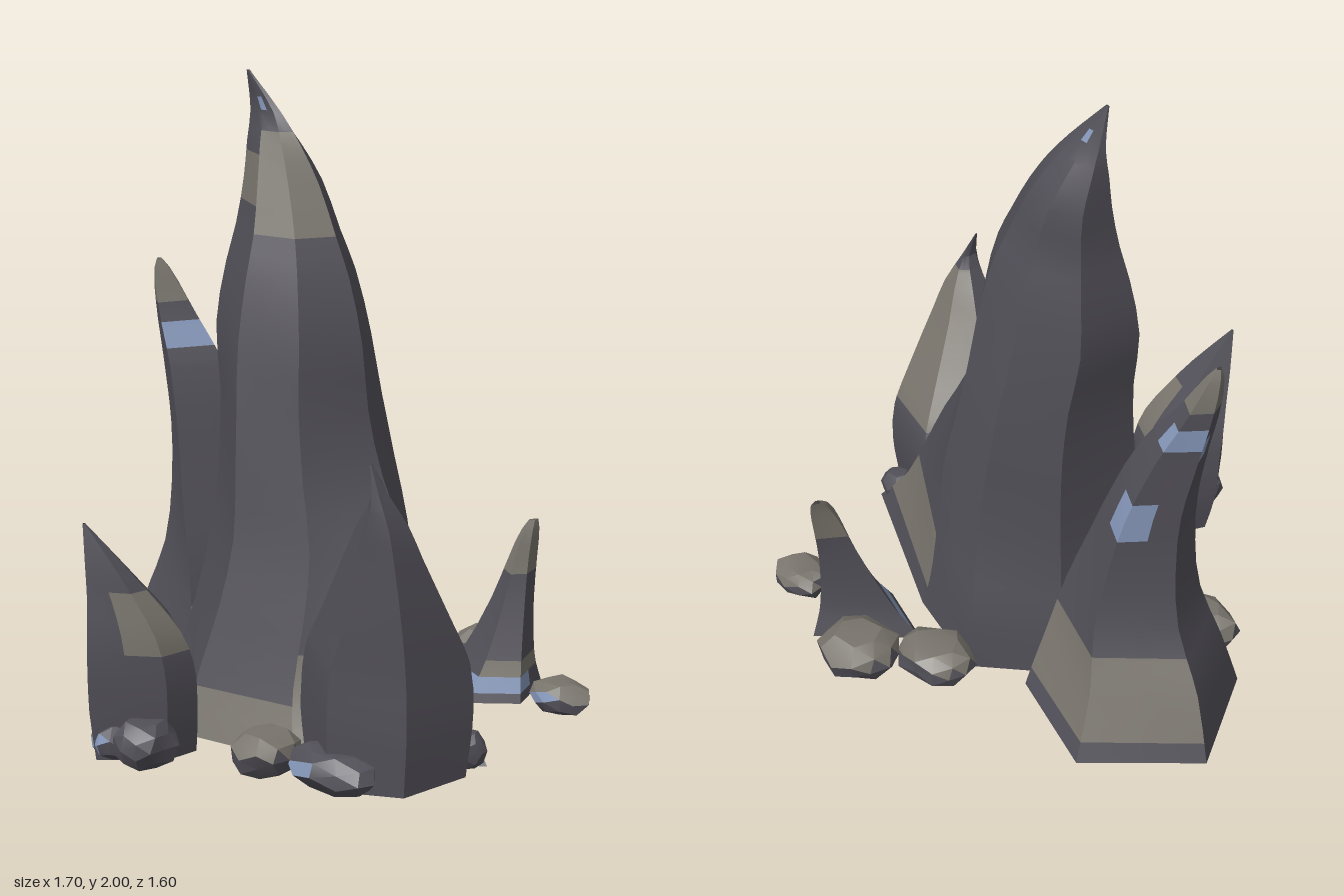
import * as THREE from 'three';
import { toCreasedNormals } from 'three/addons/utils/BufferGeometryUtils.js';

const colour = (name, hex) => {
  const m = new THREE.MeshStandardMaterial({ color: hex, side: THREE.DoubleSide });
  m.name = name;
  return m;
};

// Turns triangles sorted by material into one creased mesh with groups
function paintedMesh(name, buckets, materials, crease) {
  const geo = new THREE.BufferGeometry();
  const all = buckets.flat();
  geo.setAttribute('position', new THREE.Float32BufferAttribute(all.flatMap(p => [p.x, p.y, p.z]), 3));
  const out = toCreasedNormals(geo, crease);
  let start = 0;
  buckets.forEach((b, i) => {
    if (b.length) out.addGroup(start, b.length, i);
    start += b.length;
  });
  const mesh = new THREE.Mesh(out, materials);
  mesh.name = name;
  return mesh;
}

// Spire: a polygon (0..1 in x and z) fitted into rings of [y, xMin, xMax, zMin, zMax].
// Corners [u, v, u2, v2] move from (u, v) at the foot to (u2, v2) at half height.
// Each side has two columns; patches are [material, yFrom, yTo, columns].
function spire(name, corners, rings, patches, materials) {
  const curve = new THREE.CubicInterpolant(rings.map(r => r[0]), rings.flatMap(r => r.slice(1)), 4, new Float32Array(4));
  const top = rings[rings.length - 1][0];
  const levels = new Set(patches.flatMap(p => [p[1], p[2]]));
  rings.forEach((r, i) => {
    levels.add(r[0]);
    if (i) levels.add((r[0] + rings[i - 1][0]) / 2);
  });
  const ys = [...levels].sort((a, b) => a - b);
  const grid = ys.map(y => {
    const [x0, x1, z0, z1] = curve.evaluate(y);
    const t = THREE.MathUtils.smoothstep(y, 0, top * 0.5);
    const ring = corners.map(([u, v, u2 = u, v2 = v]) => new THREE.Vector3(
      THREE.MathUtils.lerp(x0, x1, u + (u2 - u) * t), y, THREE.MathUtils.lerp(z0, z1, v + (v2 - v) * t)));
    return ring.flatMap((p, i) => [p, p.clone().lerp(ring[(i + 1) % ring.length], 0.5)]);
  });
  const n = corners.length * 2;
  const buckets = materials.map(() => []);
  for (let i = 0; i < ys.length - 1; i++) {
    const mid = (ys[i] + ys[i + 1]) / 2;
    for (let j = 0; j < n; j++) {
      const k = (j + 1) % n;
      const patch = patches.find(p => mid > p[1] && mid < p[2] && p[3].includes(j));
      const a = grid[i][j], b = grid[i][k], c = grid[i + 1][k], d = grid[i + 1][j];
      buckets[patch ? patch[0] : 0].push(a, d, c, a, c, b);
    }
  }
  return paintedMesh(name, buckets, materials, 0.4);
}

// Stone: a lumpy, flat-bottomed ball, with an optional pale top and blue front facets
function stone(seed, [x, z, rx, rz, h, paleTop, blueFront], materials) {
  const geo = new THREE.IcosahedronGeometry(1, 1);
  const pos = geo.attributes.position;
  const front = new THREE.Vector3(-0.2, 0.1, 1).normalize();
  const pts = [];
  for (let i = 0; i < pos.count; i++) {
    const p = new THREE.Vector3().fromBufferAttribute(pos, i);
    p.multiplyScalar(0.94 + 0.1 * Math.sin(p.x * 5 + seed * 2.1) * Math.cos(p.z * 4 + p.y * 3 + seed));
    p.y = THREE.MathUtils.clamp(p.y, -0.75, 0.8);
    pts.push(new THREE.Vector3(x + p.x * rx, (p.y + 0.75) / 1.55 * h, z + p.z * rz));
  }
  const buckets = materials.map(() => []);
  for (let i = 0; i < pts.length; i += 3) {
    const tri = pts.slice(i, i + 3);
    const n = new THREE.Triangle(...tri).getNormal(new THREE.Vector3());
    const blue = blueFront && n.dot(front) > 0.9;
    buckets[blue ? 2 : paleTop && n.y > 0.35 ? 1 : 0].push(...tri);
  }
  return paintedMesh('stone' + seed, buckets, materials, 0.35);
}

export function createModel() {
  const model = new THREE.Group();
  model.name = 'rockSpires';
  const mats = [colour('darkRock', 0x514f57), colour('paleRock', 0x78746c), colour('blueRock', 0x8496b8)];
  const PALE = 1, BLUE = 2;
  const cols = n => [...Array(n).keys()];

  // Tall central spire with a hooked tip
  model.add(spire('mainSpire',
    [[0.31, 0, 0.42, 0], [0.58, 0.13, 0.8, 0.14], [1, 0.47], [0.64, 0.9, 0.85, 0.88],
      [0.31, 1, 0.47, 1], [0, 0.72, 0, 0.68], [0.08, 0.22, 0.08, 0.2]],
    [[0, -0.37, 0.83, -0.45, 0.45], [0.2, -0.31, 0.67, -0.43, 0.39], [0.4, -0.27, 0.57, -0.38, 0.33],
      [0.6, -0.25, 0.47, -0.35, 0.28], [0.8, -0.24, 0.36, -0.33, 0.255], [1.0, -0.245, 0.3, -0.3, 0.23],
      [1.2, -0.27, 0.28, -0.26, 0.2], [1.4, -0.245, 0.22, -0.22, 0.15], [1.52, -0.22, 0.16, -0.185, 0.105],
      [1.67, -0.21, 0.075, -0.16, 0.055], [1.78, -0.207, 0.005, -0.11, 0.015],
      [1.87, -0.2, -0.065, -0.06, -0.02], [2.0, -0.19, -0.178, -0.014, -0.005]],
    [[PALE, 0, 0.15, [6, 7, 8, 9]], [PALE, 0, 0.3, [5]], [PALE, 0.08, 0.31, [2, 3]],
      [PALE, 1.52, 1.82, [4, 5, 6, 7]], [PALE, 1.6, 1.75, [8, 9]], [BLUE, 1.88, 1.92, [0, 7]]], mats));

  // Tall spire at the side
  model.add(spire('tallSideSpire',
    [[0.46, 0], [1, 0.21, 1, 0.3], [0.9, 1, 0.62, 1], [0.25, 0.86, 0.15, 0.76], [0, 0.37]],
    [[0, -0.85, -0.19, -0.54, 0.19], [0.2, -0.77, -0.21, -0.44, 0.14], [0.4, -0.66, -0.24, -0.37, 0.1],
      [0.6, -0.625, -0.3, -0.32, 0.07], [0.8, -0.625, -0.37, -0.28, 0.045], [1.0, -0.655, -0.45, -0.22, 0.02],
      [1.2, -0.685, -0.58, -0.15, -0.01], [1.3, -0.685, -0.635, -0.1, -0.03], [1.335, -0.675, -0.66, -0.07, -0.05]],
    [[PALE, 0.06, 0.31, [0, 1, 8, 9]], [BLUE, 0.2, 0.26, [2, 3]], [BLUE, 0.72, 0.86, [0, 9]],
      [BLUE, 1.06, 1.14, [0, 2, 3, 8, 9]], [BLUE, 1.02, 1.1, [7]], [PALE, 1.2, 1.335, cols(10)]], mats));

  // Broad spire on the other side
  model.add(spire('broadSideSpire',
    [[0.5, 0], [1, 0.18], [0.96, 0.73], [0.55, 1], [0, 0.68], [0.1, 0.25]],
    [[0, 0.37, 0.84, 0, 0.45], [0.2, 0.365, 0.845, -0.03, 0.455], [0.35, 0.38, 0.835, -0.02, 0.445],
      [0.5, 0.465, 0.82, 0.07, 0.42], [0.7, 0.575, 0.79, 0.19, 0.39], [0.8, 0.635, 0.77, 0.24, 0.38],
      [0.9, 0.7, 0.73, 0.3, 0.365], [0.985, 0.688, 0.692, 0.335, 0.345]],
    [[PALE, 0.38, 0.86, [0, 1, 10, 11]], [PALE, 0.15, 0.38, [8, 9, 10]]], mats));

  // Small front spire
  model.add(spire('frontSpire',
    [[0.43, 0], [1, 0.3], [0.98, 0.6], [0.4, 1], [0, 0.52]],
    [[0, -0.13, 0.13, 0.4, 0.78], [0.15, -0.16, 0.15, 0.41, 0.795], [0.3, -0.16, 0.15, 0.43, 0.8],
      [0.4, -0.155, 0.13, 0.48, 0.795], [0.5, -0.135, 0.08, 0.565, 0.785], [0.6, -0.115, 0.02, 0.65, 0.78],
      [0.73, -0.085, -0.075, 0.76, 0.77]],
    [[PALE, 0.34, 0.53, [1, 2, 3, 4]], [BLUE, 0.16, 0.25, [0, 1]]], mats));

  // Small back spire
  model.add(spire('backSpire',
    [[0.77, 0], [1, 0.62], [0.63, 1], [0, 0.72]],
    [[0, 0.21, 0.56, -0.69, -0.37], [0.1, 0.29, 0.54, -0.65, -0.43], [0.3, 0.38, 0.51, -0.64, -0.51],
      [0.45, 0.42, 0.49, -0.66, -0.56], [0.53, 0.44, 0.48, -0.67, -0.6], [0.56, 0.45, 0.47, -0.67, -0.635]],
    [[BLUE, 0.03, 0.08, [1, 2, 3, 4, 5]], [PALE, 0.08, 0.13, [0, 1, 2, 3]], [PALE, 0.4, 0.56, cols(8)]], mats));

  // Loose stones: x, z, half width, half depth, height, pale top, blue front
  [[0.07, -0.53, 0.145, 0.115, 0.12, true, false], [0.275, -0.675, 0.145, 0.13, 0.14, true, false],
    [0.685, -0.54, 0.11, 0.09, 0.1, true, true], [0.39, 0.47, 0.115, 0.12, 0.13, true, false],
    [0.62, 0.42, 0.18, 0.095, 0.12, false, true], [0.1, 0.69, 0.1, 0.11, 0.14, false, false],
    [-0.46, 0.16, 0.155, 0.095, 0.14, true, true], [0.78, 0.01, 0.065, 0.055, 0.11, false, false],
    [-0.01, 0.71, 0.09, 0.085, 0.11, false, true],
  ].forEach((s, i) => model.add(stone(i + 1, s, mats)));

  return model;
}
